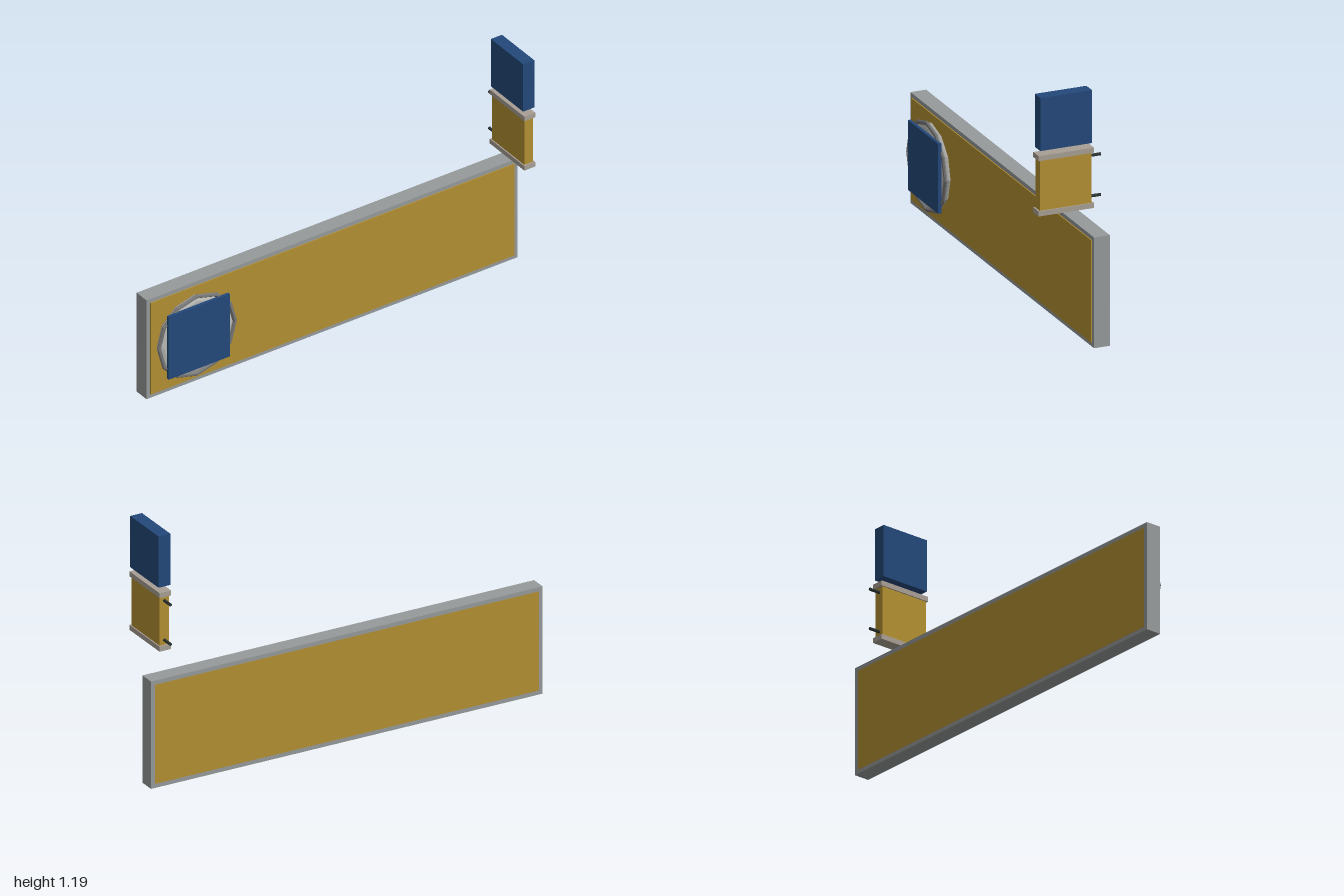
import * as THREE from 'three';

const paint = (color, extra = {}) => new THREE.MeshStandardMaterial({ color, ...extra });

export function createModel() {
  const model = new THREE.Group();
  const grey = paint(0x969a9a);
  const ochre = paint(0xb38f32);
  const blue = paint(0x234879);
  const cream = paint(0xa89f94);
  const dark = paint(0x2c3433);

  // Box given by its minimum and maximum corners
  function box(name, material, min, max, parent = model) {
    const size = max.map((v, i) => v - min[i]);
    const mesh = new THREE.Mesh(new THREE.BoxGeometry(...size), material);
    mesh.position.set(...max.map((v, i) => (v + min[i]) / 2));
    mesh.name = name;
    parent.add(mesh);
    return mesh;
  }

  // Long shop fascia: grey frame with a panel just proud of both faces
  const fascia = new THREE.Group();
  fascia.name = 'fasciaSign';
  model.add(fascia);
  box('fasciaFrame', grey, [-1, 0, -0.156], [1, 0.523, -0.08], fascia);
  box('fasciaPanel', ochre, [-0.98, 0.02, -0.1565], [0.98, 0.503, -0.075], fascia);

  // Twelve-sided bottle-cap badge, turned around the z axis
  const badge = new THREE.Group();
  badge.name = 'badge';
  badge.position.set(-0.75, 0.263, 0);
  model.add(badge);
  function turned(name, points, color) {
    const geometry = new THREE.LatheGeometry(points.map(p => new THREE.Vector2(...p)), 12);
    geometry.rotateX(Math.PI / 2);
    const mesh = new THREE.Mesh(geometry, paint(color, { flatShading: true, side: THREE.DoubleSide }));
    mesh.name = name;
    badge.add(mesh);
  }
  turned('badgeBody', [[0.196, -0.078], [0.204, -0.066], [0.2, -0.056]], 0xa5a5a2);
  turned('badgeRim', [[0.2, -0.058], [0.212, -0.054], [0.215, -0.048],
    [0.21, -0.042], [0.2, -0.041], [0.193, -0.05]], 0x777777);
  turned('badgeFace', [[0.193, -0.05], [0.18, -0.045], [0, -0.045]], 0xb9bab4);
  box('badgePlate', blue, [-0.165, -0.165, -0.045], [0.165, 0.165, -0.03], badge);

  // Projecting sign: panel between two caps, with a second block above
  const hanging = new THREE.Group();
  hanging.name = 'projectingSign';
  model.add(hanging);
  box('upperBlock', blue, [0.87, 0.942, -0.101], [0.93, 1.192, 0.149], hanging);
  box('lowerPanel', ochre, [0.877, 0.655, -0.101], [0.924, 0.898, 0.149], hanging);
  for (const [name, y] of [['topCap', 0.895], ['bottomCap', 0.634]]) {
    box(name, cream, [0.871, y, -0.111], [0.93, y + 0.024, 0.157], hanging);
  }

  // Wall rods behind the projecting sign
  for (const y of [0.873, 0.681]) {
    const rod = new THREE.Mesh(new THREE.CylinderGeometry(0.007, 0.007, 0.06, 12), dark);
    rod.rotation.x = Math.PI / 2;
    rod.position.set(0.9, y, -0.126);
    rod.name = 'wallRod';
    hanging.add(rod);
  }

  return model;
}
